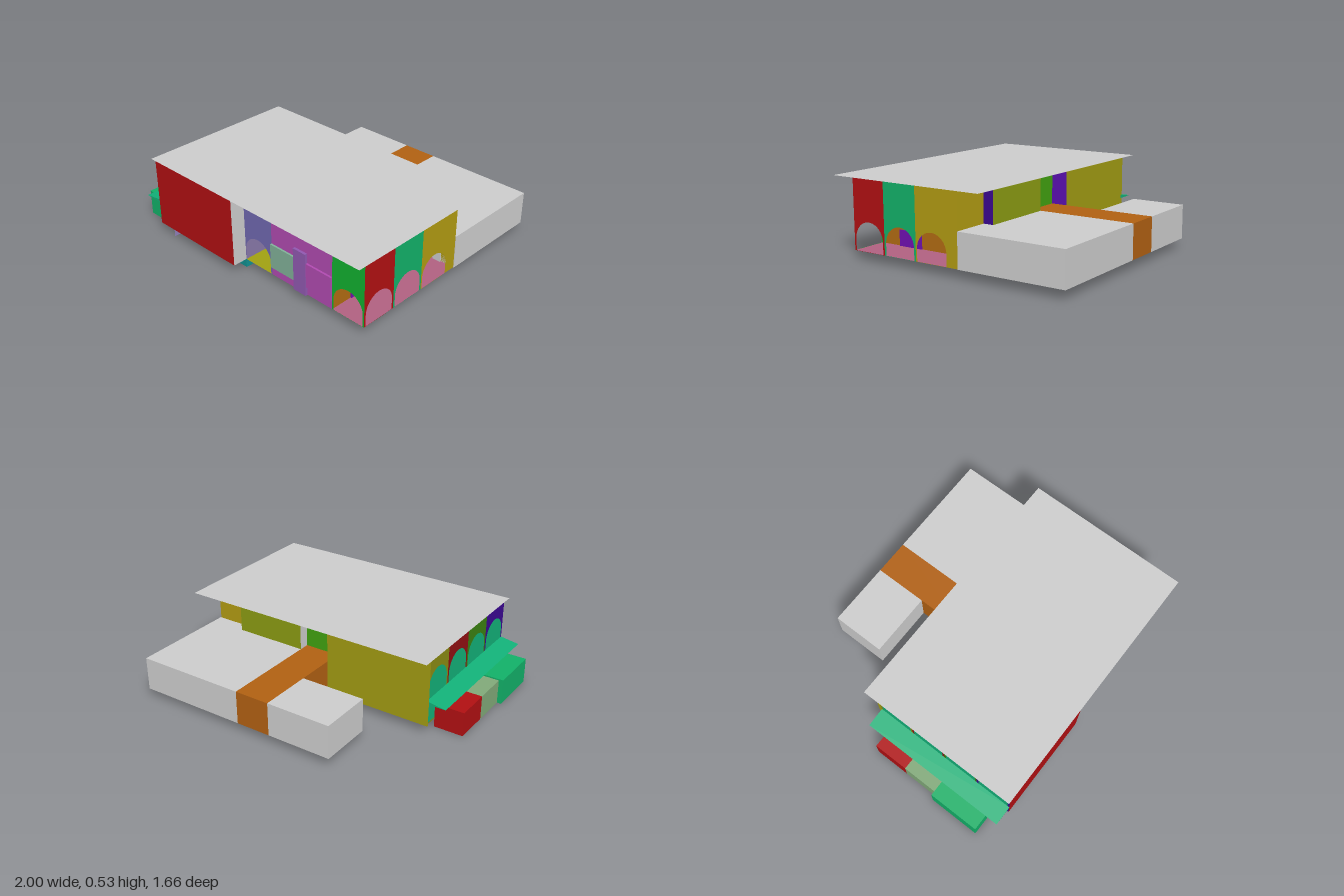
import * as THREE from 'three';

const mat = (color, side = THREE.DoubleSide) => new THREE.MeshStandardMaterial({ color, side });
const GREY = 0xcccccc;

// Arched opening outline, standing on y = base
function archPath(s, half, base, top) {
  const p = new THREE.Path();
  const spring = top - half;
  p.moveTo(s - half, base);
  p.lineTo(s - half, spring);
  p.absarc(s, spring, half, Math.PI, 0, true);
  p.lineTo(s + half, base);
  p.closePath();
  return p;
}

export function createModel() {
  const model = new THREE.Group();

  function add(name, geo, color, side) {
    const m = new THREE.Mesh(geo, mat(color, side));
    m.name = name;
    model.add(m);
    return m;
  }
  // Box given by its limits on each axis
  function box(name, color, x0, x1, y0, y1, z0, z1) {
    const m = add(name, new THREE.BoxGeometry(x1 - x0, y1 - y0, z1 - z0), color);
    m.position.set((x0 + x1) / 2, (y0 + y1) / 2, (z0 + z1) / 2);
    return m;
  }
  // Place an upright flat shape so its local x runs from a to b (x, z pairs)
  function stand(mesh, a, b) {
    mesh.position.set(a[0], 0, a[1]);
    mesh.rotation.y = Math.atan2(-(b[1] - a[1]), b[0] - a[0]);
    return mesh;
  }
  // Thin wall from a to b with optional holes
  function wall(name, color, a, b, y0 = 0.06, y1 = 0.53, holes = []) {
    const len = Math.hypot(b[0] - a[0], b[1] - a[1]);
    const s = new THREE.Shape();
    s.moveTo(0, y0);
    s.lineTo(len, y0);
    s.lineTo(len, y1);
    s.lineTo(0, y1);
    s.closePath();
    s.holes.push(...holes);
    return stand(add(name, new THREE.ShapeGeometry(s, 20), color), a, b);
  }
  // Horizontal sheet
  function sheet(name, color, x0, x1, z0, z1, y) {
    const m = add(name, new THREE.PlaneGeometry(x1 - x0, z1 - z0).rotateX(-Math.PI / 2), color);
    m.position.set((x0 + x1) / 2, y, (z0 + z1) / 2);
  }

  // Flat roof
  sheet('roof', GREY, -0.8, 1, -0.29, 0.83, 0.53);

  // Front walls
  const arch = (s) => [archPath(s, 0.112, 0.061, 0.25)];
  wall('frontHallWall', 0xb01012, [-0.77, 0.82], [-0.04, 0.82]);
  wall('frontReturnWall', GREY, [-0.04, 0.82], [-0.04, 0.72]);
  wall('entranceWall', 0x7068b0, [-0.04, 0.72], [0.2, 0.72], 0.06, 0.53, arch(0.115));
  wall('livingRoomWall', 0xb04ab0, [0.2, 0.72], [0.7, 0.72]);
  wall('frontPorchWall', 0x12b030, [0.7, 0.72], [0.945, 0.72], 0.06, 0.53, arch(0.122));
  box('frontWindow', 0x80b098, 0.2, 0.4, 0.12, 0.285, 0.72, 0.733);
  box('frontWindow', 0xb04ab0, 0.5, 0.7, 0.12, 0.285, 0.72, 0.733);
  box('chimneyBreast', 0x9058b0, 0.4, 0.5, 0.06, 0.35, 0.72, 0.737);

  // Arcade on the left side
  wall('arcadeWall', 0xb01012, [0.945, 0.72], [0.945, 0.47], 0.06, 0.53, arch(0.125));
  wall('arcadeWall', 0x12b068, [0.945, 0.47], [0.945, 0.22], 0.06, 0.53, arch(0.125));
  wall('arcadeWall', 0xb09a12, [0.945, 0.22], [0.945, -0.1], 0.06, 0.53, arch(0.122));

  // Stepped back wall
  wall('backPorchWall', 0xb09a12, [0.945, -0.1], [0.7, -0.1]);
  wall('backReturnWall', 0x3a0890, [0.7, -0.1], [0.7, -0.17]);
  wall('backRoomWall', 0x8a9a12, [0.7, -0.17], [0.2, -0.17]);
  wall('backReturnWall', GREY, [0.2, -0.17], [0.2, -0.1]);
  wall('backEntranceWall', 0x40a010, [0.2, -0.1], [-0.04, -0.1]);
  wall('backReturnWall', 0x5a10b0, [-0.04, -0.1], [-0.04, -0.21]);
  wall('backHallWall', 0xa09a12, [-0.04, -0.21], [-0.785, -0.21]);

  // Right side wall: four bays with filled arches
  const bay = 1.03 / 4;
  [0x8a8a12, 0x901012, 0x3a8010, 0x3a0890].forEach((color, i) => {
    const a = [-0.77, -0.21 + i * bay], b = [-0.77, -0.21 + (i + 1) * bay];
    wall('sideBayWall', color, a, b, 0.06, 0.53, [archPath(bay / 2, 0.115, 0.07, 0.42)]);
    const fill = new THREE.Shape(archPath(bay / 2, 0.115, 0.07, 0.42).getPoints(20));
    stand(add('archPanel', new THREE.ShapeGeometry(fill), 0x12b078, THREE.FrontSide), a, b);
  });

  // Sloping canopy along the right side
  const slope = new THREE.Shape([[-0.9, 0.218], [-0.77, 0.216], [-0.77, 0.238]].map(p => new THREE.Vector2(...p)));
  add('canopy', new THREE.ExtrudeGeometry(slope, { depth: 1.03, bevelEnabled: false }), 0x12b078).position.z = -0.21;

  // Low planter boxes below the canopy
  box('sidePlanter', 0xb01012, -0.97, -0.77, 0, 0.165, -0.1, 0.14);
  box('sidePlanter', 0x80a878, -0.97, -0.77, 0, 0.165, 0.14, 0.38);
  box('sidePlanter', 0x12b068, -1, -0.77, 0, 0.175, 0.38, 0.73);

  // Main floor
  sheet('hallFloor', GREY, -0.77, -0.04, -0.21, 0.82, 0.06);
  sheet('entranceFloor', 0xa0a012, -0.04, 0.2, -0.1, 0.72, 0.06);
  sheet('livingRoomFloor', 0x805868, 0.2, 0.7, -0.17, 0.72, 0.06);
  sheet('porchFloor', 0xb06080, 0.7, 0.945, -0.1, 0.72, 0.06);

  // Low inner partitions and doors
  wall('partition', 0xb06a12, [0.7, -0.1], [0.7, 0.72], 0.06, 0.225);
  wall('partition', 0xb06a12, [0.2, -0.1], [0.2, 0.72], 0.06, 0.225);
  wall('partition', 0x8878a8, [-0.04, -0.1], [-0.04, 0.72], 0.06, 0.225);
  box('porchDoor', GREY, 0.79, 0.85, 0.06, 0.14, -0.098, -0.09);
  box('entranceDoor', 0xb06012, 0.055, 0.11, 0.06, 0.14, -0.098, -0.09);
  box('sideDoor', 0x7010b0, 0.7, 0.708, 0.06, 0.165, 0.385, 0.565);

  // Low wing at the back, in three parts
  box('backWing', GREY, 0.7, 0.95, 0.06, 0.285, -0.83, -0.1);
  box('backWing', GREY, 0.2, 0.7, 0.06, 0.285, -0.83, -0.17);
  box('backWingLink', 0xb06012, -0.04, 0.2, 0.06, 0.285, -0.83, -0.1);
  box('backWingEnd', GREY, -0.48, -0.04, 0.06, 0.285, -0.83, -0.47);

  // Basement under the hall, with a window strip
  box('hallBasement', 0x109090, -0.65, -0.04, 0, 0.058, -0.1, 0.72);
  box('basementCorner', GREY, -0.77, -0.65, 0, 0.058, 0.38, 0.72);
  wall('basementFin', 0x9080b8, [-0.65, 0.72], [-0.65, 0.81], 0, 0.06);
  for (const [x0, x1] of [[-0.645, -0.5], [-0.495, -0.345], [-0.34, -0.2]]) {
    box('basementWindow', 0xb010a0, x0, x1, 0.01, 0.05, 0.72, 0.724);
    box('basementPane', 0xb09a12, x0 + 0.006, x1 - 0.006, 0.015, 0.045, 0.72, 0.726);
  }
  box('basementWindow', 0xb010a0, -0.04, -0.036, 0.01, 0.05, 0.45, 0.505);

  // Basement under the living room, with a bay
  box('roomBasement', 0x3a10a0, 0.2, 0.7, 0, 0.058, -0.17, 0.3);
  box('basementBay', 0xa08a12, 0.3, 0.6, 0, 0.058, 0.3, 0.45);
  box('basementPanel', 0xb01080, 0.6, 0.7, 0.005, 0.055, 0.3, 0.304);

  return model;
}
